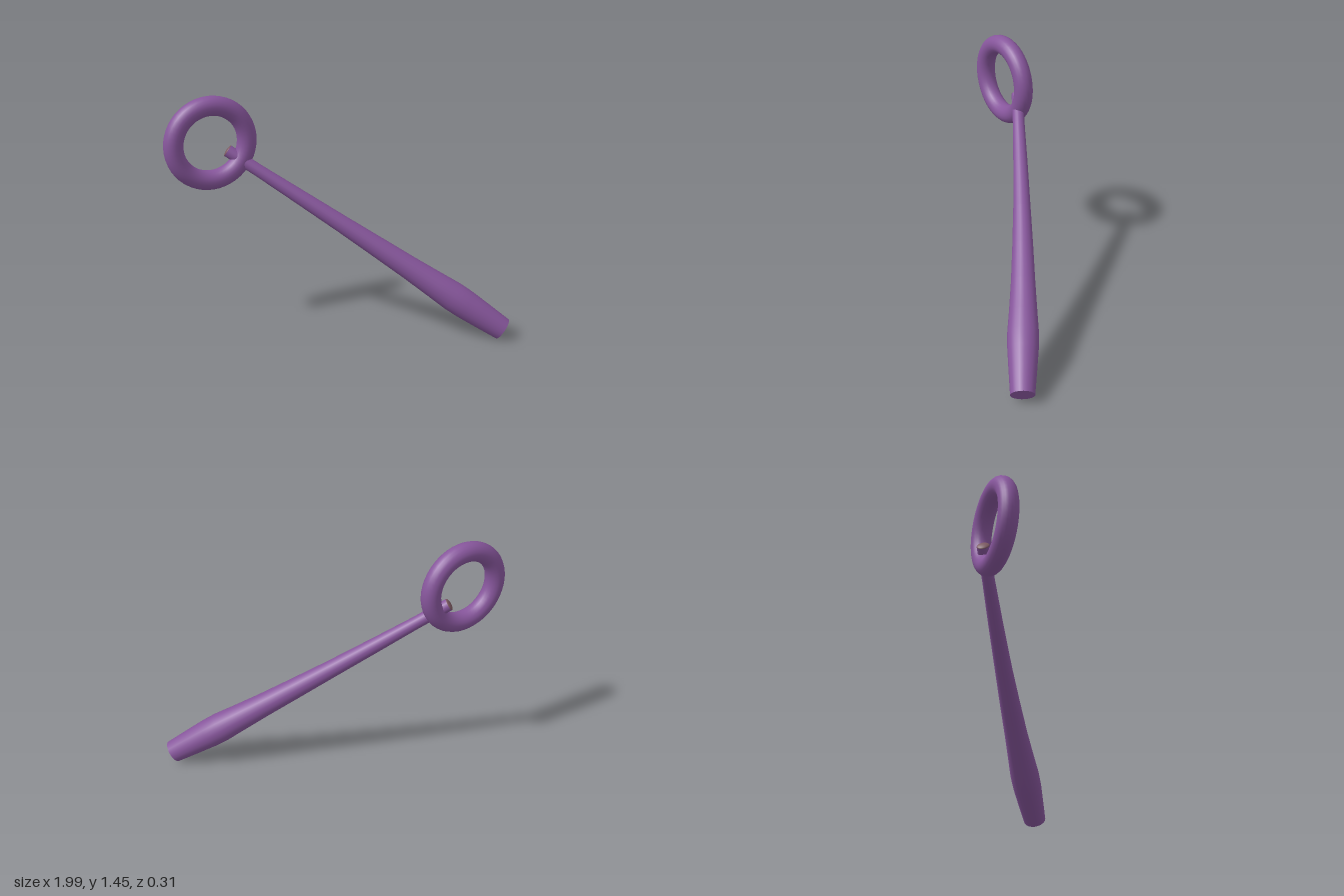
import * as THREE from 'three';

export function createModel() {
  const group = new THREE.Group();
  const purple = new THREE.MeshStandardMaterial({ color: 0x87569c });
  purple.name = 'purple';
  const brown = new THREE.MeshStandardMaterial({ color: 0x7d5a62 });
  brown.name = 'brown';

  const add = (parent, name, geometry, material) => {
    const mesh = new THREE.Mesh(geometry, material);
    mesh.name = name;
    parent.add(mesh);
    return mesh;
  };

  // Ring, turned about the vertical axis
  const ring = add(group, 'ring', new THREE.TorusGeometry(0.22, 0.057, 20, 48), purple);
  ring.position.set(-0.748, 1.188, 0);
  ring.rotation.y = 0.47;

  // Handle: a tapered shaft running from the thick grip up through the ring
  const base = new THREE.Vector3(0.957, 0.067, 0.05);
  const tip = new THREE.Vector3(-0.66, 1.12, -0.073);
  const axis = tip.clone().sub(base);
  const length = axis.length();
  const handle = new THREE.Group();
  handle.name = 'handle';
  handle.position.copy(base);
  handle.quaternion.setFromUnitVectors(new THREE.Vector3(0, 1, 0), axis.normalize());
  group.add(handle);

  // Radius and distance along the shaft
  const profile = [
    [0.068, 0], [0.079, 0.15], [0.087, 0.27], [0.088, 0.36], [0.08, 0.48], [0.069, 0.67],
    [0.06, 0.9], [0.051, 1.14], [0.043, 1.44], [0.036, 1.72], [0.036, length],
  ].map(([r, s]) => new THREE.Vector2(r, s));
  const shaft = new THREE.LatheGeometry(profile, 20);
  // Slight bow towards the back
  const p = shaft.attributes.position;
  for (let i = 0; i < p.count; i++) {
    p.setZ(i, p.getZ(i) - 0.016 * Math.sin((Math.PI * p.getY(i)) / length));
  }
  add(handle, 'shaft', shaft, purple);

  // Flat end of the grip
  const end = add(handle, 'gripEnd', new THREE.CircleGeometry(0.068, 20), purple);
  end.rotation.x = Math.PI / 2;

  // Low domed cap on the narrow end
  const dome = new THREE.SphereGeometry(0.036, 20, 8, 0, Math.PI * 2, 0, Math.PI / 2);
  dome.scale(1, 0.3, 1);
  add(handle, 'tipCap', dome, brown).position.y = length;

  return group;
}
